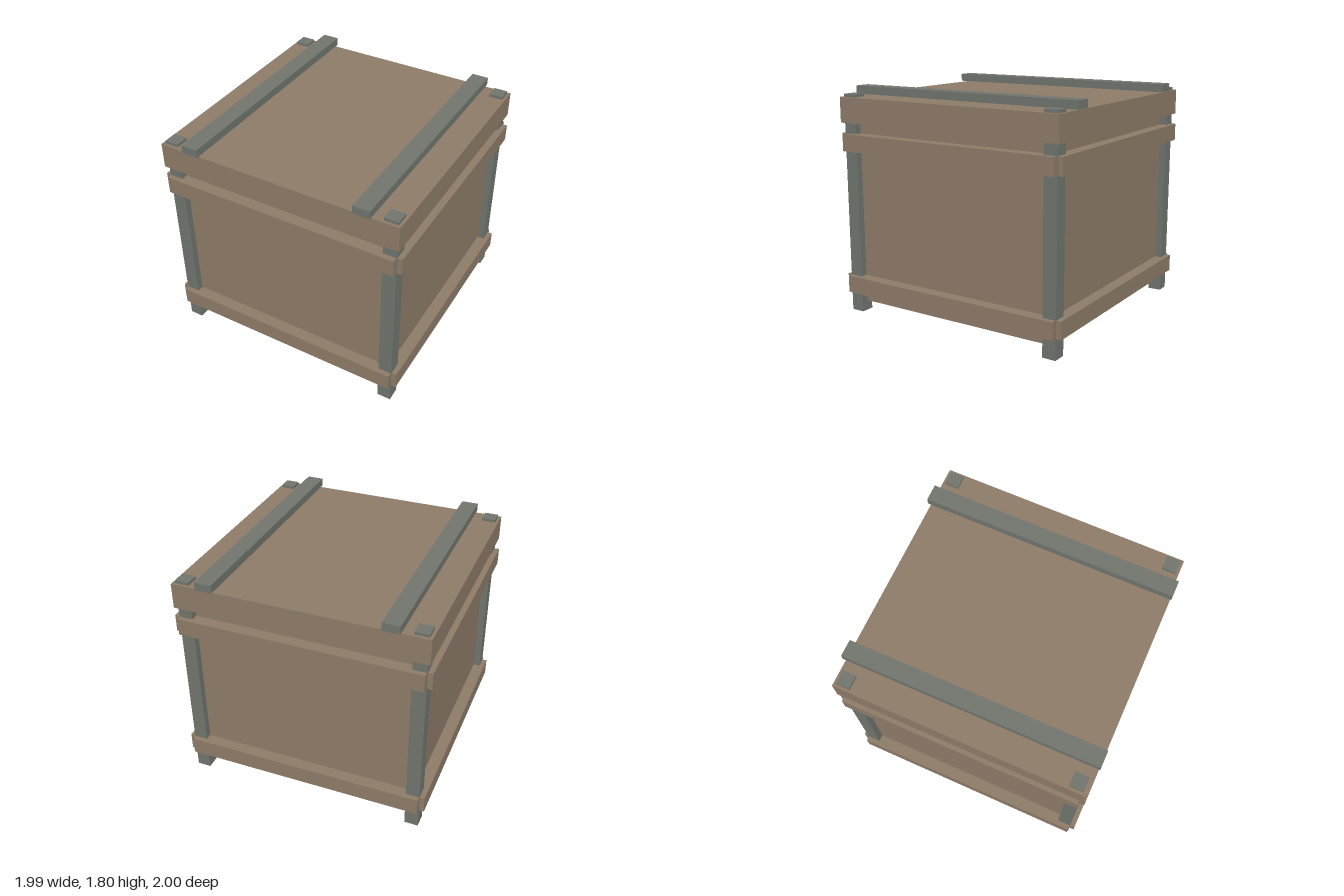
import * as THREE from 'three';

export function createModel() {
  const model = new THREE.Group();
  model.name = 'crate';
  const wood = new THREE.MeshStandardMaterial({ color: 0x8d7b68 });
  const metal = new THREE.MeshStandardMaterial({ color: 0x70756d });

  // Box given by its size, its bottom height and its centre in x and z
  function box(parent, name, material, [w, h, d], x, bottom, z) {
    const mesh = new THREE.Mesh(new THREE.BoxGeometry(w, h, d), material);
    mesh.name = name;
    mesh.position.set(x, bottom + h / 2, z);
    parent.add(mesh);
  }

  // Body and overhanging lid
  box(model, 'body', wood, [1.8, 1.5, 1.8], 0, 0.08, 0);
  box(model, 'lid', wood, [1.954, 0.2, 1.954], 0, 1.53, 0);

  // Corner posts, standing as feet and poking through the lid
  for (const x of [-0.9, 0.9])
    for (const z of [-0.9, 0.9])
      box(model, 'cornerPost', metal, [0.108, 1.753, 0.108], x, 0, z);

  // Two rings of boards, with a small notch at each corner
  for (const bottom of [0.16, 1.31]) {
    const ring = new THREE.Group();
    ring.name = bottom < 1 ? 'lowerBoards' : 'upperBoards';
    for (const s of [-1, 1]) {
      box(ring, 'crossBoard', wood, [1.9, 0.136, 0.093], 0, bottom, s * 0.9465);
      box(ring, 'sideBoard', wood, [0.093, 0.136, 1.9], s * 0.9465, bottom, 0);
    }
    model.add(ring);
  }

  // Straps running front to back, just above the lid
  for (const x of [-0.7, 0.7])
    box(model, 'lidStrap', metal, [0.133, 0.063, 2], x, 1.737, 0);

  return model;
}
